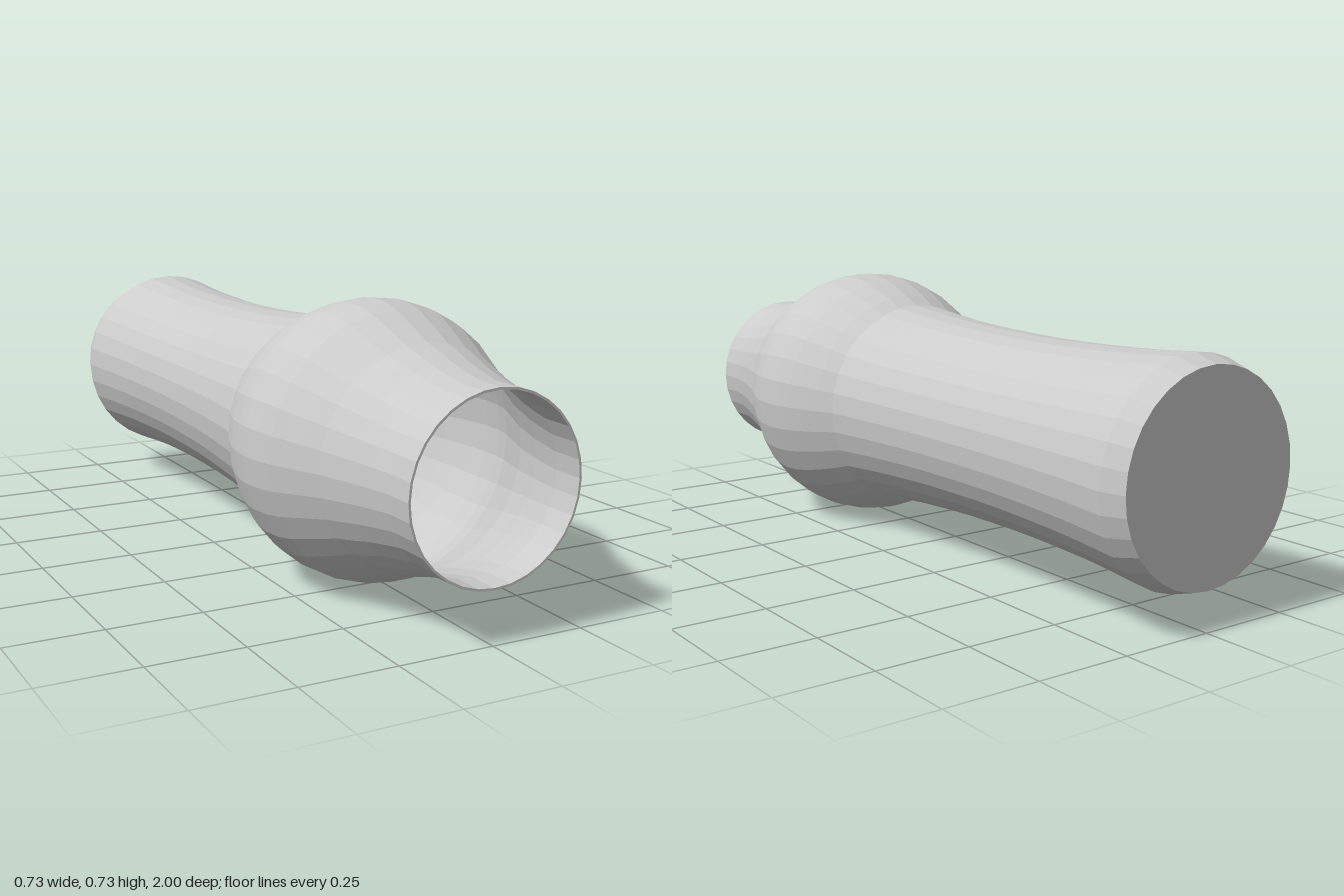
import * as THREE from 'three';

const SIDES = 32;
const WALL = 0.006;
const AXIS_Y = 0.367;

// Outer profile as [radius, position along the axis], from closed base to open mouth
const foot = [[0.265, -1], [0.285, -0.935]];
const shaft = [
  [0.28, -0.87], [0.274, -0.8], [0.268, -0.7], [0.264, -0.6], [0.261, -0.5], [0.26, -0.4], [0.261, -0.3],
  [0.263, -0.2], [0.267, -0.1], [0.273, 0], [0.281, 0.1], [0.291, 0.2],
];
const belly = [
  [0.315, 0.25], [0.335, 0.3], [0.352, 0.35], [0.363, 0.4], [0.367, 0.45], [0.362, 0.51],
  [0.35, 0.56], [0.333, 0.6], [0.312, 0.65], [0.29, 0.7], [0.273, 0.76], [0.26, 0.8], [0.246, 0.86],
];
const neck = [[0.235, 0.915], [0.234, 1]];

export function createModel() {
  const group = new THREE.Group();
  group.name = 'vase';
  const material = new THREE.MeshStandardMaterial({ color: 0xcccccc, flatShading: true });

  // Outside runs up from the base; the inside runs back down, one wall thickness in
  const outer = [...foot, ...shaft, ...belly, ...neck];
  const inner = outer.slice(1).reverse().map(([r, y]) => [r - WALL, y]);
  const floorY = -1 + WALL;
  const profile = [[0, -1], ...outer, ...inner, [foot[0][0] - WALL, floorY], [0, floorY]]
    .map(([r, y]) => new THREE.Vector2(r, y));

  // Lay the turned body on its side with the mouth facing forward
  const geometry = new THREE.LatheGeometry(profile, SIDES);
  geometry.rotateX(Math.PI / 2);
  geometry.translate(0, AXIS_Y, 0);
  const body = new THREE.Mesh(geometry, material);
  body.name = 'vaseBody';
  group.add(body);
  return group;
}
